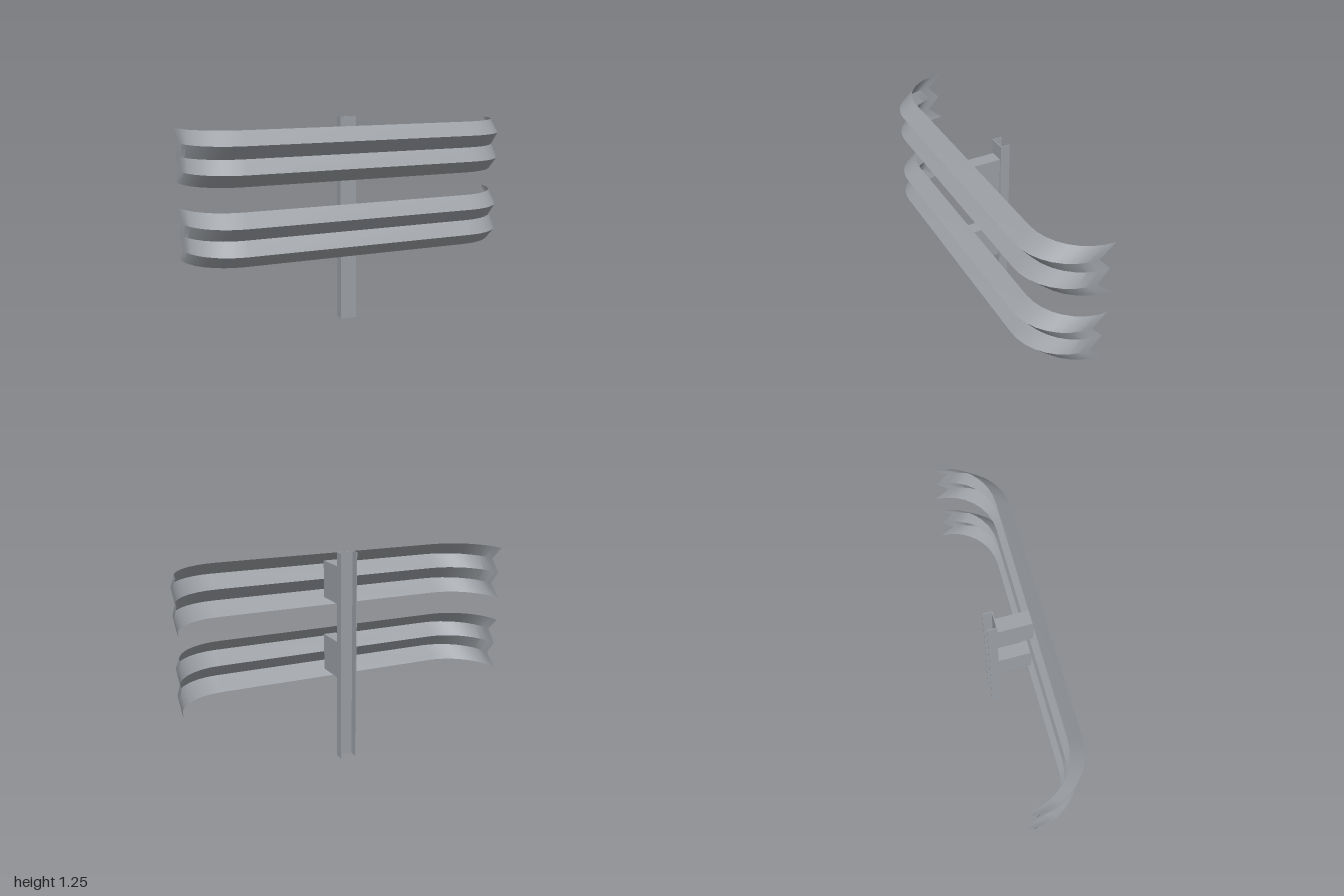
import * as THREE from 'three';
import { toCreasedNormals } from 'three/addons/utils/BufferGeometryUtils.js';

const POST_HEIGHT = 1.25;
const RAIL_CENTRES = [0.605, 1.055];

// W-beam cross-section: height from the rail centre, forward depth
const W_PROFILE = [[-0.155, 0], [-0.078, 0.085], [0, 0.017], [0.078, 0.085], [0.155, 0]];

// Plan of the rail: straight middle, ends swept back in quarter circles
function railPath() {
  const radius = 0.3, steps = 8, path = [];
  for (let i = steps; i >= 0; i--) {
    const a = (i / steps) * Math.PI / 2;
    path.push([-0.7 - radius * Math.sin(a), -0.19 + radius * Math.cos(a)]);
  }
  const mirrored = path.map(([x, z]) => [-x, z]).reverse();
  return [...path, ...mirrored];
}

// Open sheet: the profile carried along the path
function railGeometry() {
  const path = railPath(), n = W_PROFILE.length;
  const positions = [], indices = [];
  for (const [x, z] of path) {
    for (const [y, depth] of W_PROFILE) positions.push(x, y, z + depth);
  }
  for (let i = 0; i < path.length - 1; i++) {
    for (let j = 0; j < n - 1; j++) {
      const a = i * n + j, b = a + n;
      indices.push(a, b, b + 1, a, b + 1, a + 1);
    }
  }
  const geometry = new THREE.BufferGeometry();
  geometry.setAttribute('position', new THREE.Float32BufferAttribute(positions, 3));
  geometry.setIndex(indices);
  return toCreasedNormals(geometry, Math.PI / 6);
}

// C-channel, open to the back
function postGeometry() {
  const w = 0.05, t = 0.005, front = 0.08, back = 0.135;
  const section = new THREE.Shape([
    [-w, front], [w, front], [w, back], [w - t, back],
    [w - t, front + t], [-w + t, front + t], [-w + t, back], [-w, back],
  ].map(([x, y]) => new THREE.Vector2(x, y)));
  const geometry = new THREE.ExtrudeGeometry(section, { depth: POST_HEIGHT, bevelEnabled: false });
  return geometry.rotateX(-Math.PI / 2);
}

export function createModel() {
  const steel = new THREE.MeshStandardMaterial({ color: 0x9da1a6 });
  steel.name = 'galvanised steel';
  steel.side = THREE.DoubleSide;

  const model = new THREE.Group();
  model.name = 'guardrail';
  const add = (name, geometry, y, z = 0) => {
    const mesh = new THREE.Mesh(geometry, steel);
    mesh.name = name;
    mesh.position.set(0, y, z);
    model.add(mesh);
  };

  add('post', postGeometry(), 0);

  // Two rails, each held off the post by a spacer block
  const rail = railGeometry();
  const block = new THREE.BoxGeometry(0.08, 0.22, 0.205);
  RAIL_CENTRES.forEach((y, i) => {
    const level = i === 0 ? 'lower' : 'upper';
    add(`${level}Rail`, rail, y);
    add(`${level}SpacerBlock`, block, y, 0.0225);
  });
  return model;
}
